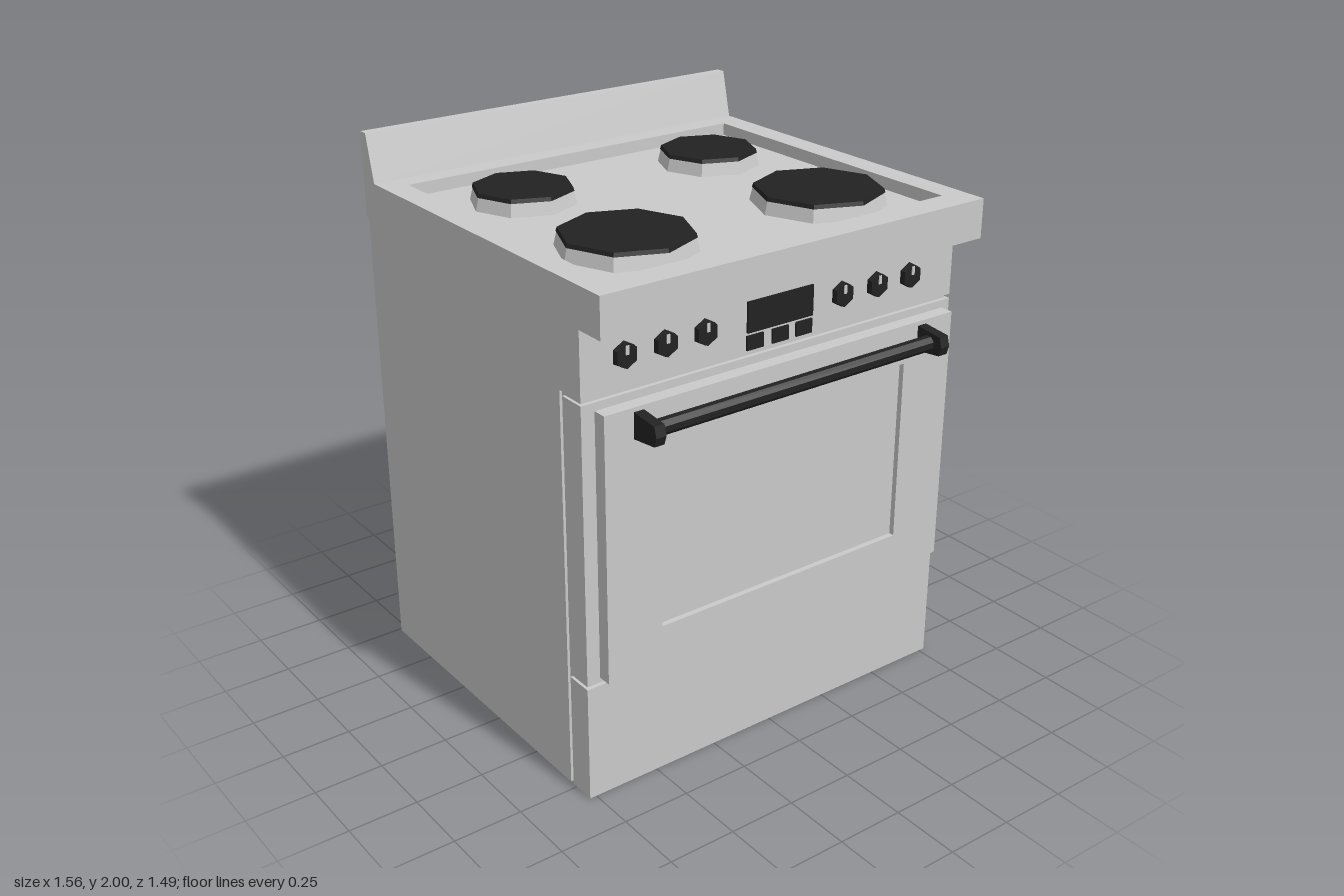
import * as THREE from 'three';

const steel = new THREE.MeshStandardMaterial({ color: 0xcacaca });
steel.name = 'steel grey';
const black = new THREE.MeshStandardMaterial({ color: 0x222222 });
black.name = 'matte black';

export function createModel() {
  const root = new THREE.Group();
  root.name = 'cooker';

  const add = (name, geometry, material) => {
    // Every part is faceted
    const mesh = new THREE.Mesh(geometry.index ? geometry.toNonIndexed() : geometry, material);
    mesh.geometry.computeVertexNormals();
    mesh.name = name;
    root.add(mesh);
    return mesh;
  };

  // Box given by its limits on each axis
  const box = (name, x0, x1, y0, y1, z0, z1, material = steel) =>
    add(name, new THREE.BoxGeometry(x1 - x0, y1 - y0, z1 - z0)
      .translate((x0 + x1) / 2, (y0 + y1) / 2, (z0 + z1) / 2), material);

  const rect = (Type, x0, x1, y0, y1) =>
    new Type([[x0, y0], [x1, y0], [x1, y1], [x0, y1]].map(p => new THREE.Vector2(...p)));

  // Rectangular plate with a rectangular opening, extruded along z
  const framePlate = (outer, inner, depth) => {
    const shape = rect(THREE.Shape, ...outer);
    shape.holes.push(rect(THREE.Path, ...inner));
    return new THREE.ExtrudeGeometry(shape, { depth, bevelEnabled: false });
  };

  // Side profile of [z, y] points, extruded across x
  const sideProfile = (points, x0, x1) =>
    new THREE.ExtrudeGeometry(
      new THREE.Shape(points.map(([z, y]) => new THREE.Vector2(-z, y))),
      { depth: x1 - x0, bevelEnabled: false }
    ).rotateY(Math.PI / 2).translate(x0, 0, 0);

  // Cabinet, stepped at the front below the control panel
  add('cabinet', sideProfile(
    [[-0.74, 0], [0.465, 0], [0.465, 1.455], [0.58, 1.455], [0.58, 1.70], [-0.74, 1.70]],
    -0.775, 0.775), steel);
  box('frontCore', -0.765, 0.765, 0.005, 1.455, 0.46, 0.565);
  box('drawerFront', -0.775, 0.775, 0, 0.43, 0.48, 0.58);

  // Oven door with a raised panel and a shallow window
  box('doorBase', -0.775, 0.775, 0.445, 1.44, 0.48, 0.58);
  add('doorPanel', framePlate([-0.725, 0.74, 0.46, 1.412], [-0.51, 0.523, 0.60, 1.27], 0.05)
    .translate(0, 0, 0.58), steel);
  box('doorWindow', -0.51, 0.523, 0.60, 1.27, 0.575, 0.61);

  // Handle
  add('handleBar', new THREE.CylinderGeometry(0.028, 0.028, 1.2, 8)
    .rotateY(Math.PI / 8).rotateZ(Math.PI / 2).translate(0, 1.35, 0.683), black);
  for (const x of [-0.615, 0.58]) {
    add('handleBracket', sideProfile(
      [[0.625, 1.305], [0.735, 1.318], [0.745, 1.35], [0.735, 1.386], [0.625, 1.397]],
      x, x + 0.038), black);
  }

  // Cooktop rim, sunken floor and sloped backsplash
  add('cooktopRim', framePlate([-0.78, 0.78, -0.70, 0.745], [-0.69, 0.69, -0.595, 0.59], 0.14)
    .rotateX(-Math.PI / 2).translate(0, 1.69, 0), steel);
  box('cooktopFloor', -0.69, 0.69, 1.695, 1.785, -0.59, 0.595);
  add('backsplash', sideProfile(
    [[-0.745, 1.83], [-0.67, 1.83], [-0.71, 2], [-0.745, 2]], -0.78, 0.78), steel);

  // Burners, large at the front and small at the back
  for (const x of [-0.4, 0.4]) {
    for (const [z, r] of [[0.295, 0.236], [-0.315, 0.188]]) {
      add('burnerBase', new THREE.CylinderGeometry(r - 0.012, r, 0.05, 8)
        .translate(x, 1.807, z), steel);
      add('burnerCap', new THREE.CylinderGeometry(r - 0.013, r - 0.009, 0.014, 8)
        .translate(x, 1.838, z), black);
    }
  }

  // Knobs with pointer marks
  for (const x of [-0.615, -0.462, -0.307, 0.263, 0.418, 0.57]) {
    add('knob', new THREE.CylinderGeometry(0.042, 0.046, 0.022, 6)
      .rotateX(Math.PI / 2).translate(x, 1.57, 0.588), black);
    box('knobPointer', x - 0.006, x + 0.006, 1.575, 1.605, 0.597, 0.602);
  }

  // Display and its buttons
  box('display', -0.138, 0.135, 1.525, 1.632, 0.575, 0.588, black);
  box('displayTop', -0.128, 0.125, 1.632, 1.64, 0.575, 0.588, black);
  for (const x of [-0.105, 0, 0.1]) {
    box('button', x - 0.034, x + 0.034, 1.465, 1.515, 0.575, 0.587, black);
  }

  return root;
}
